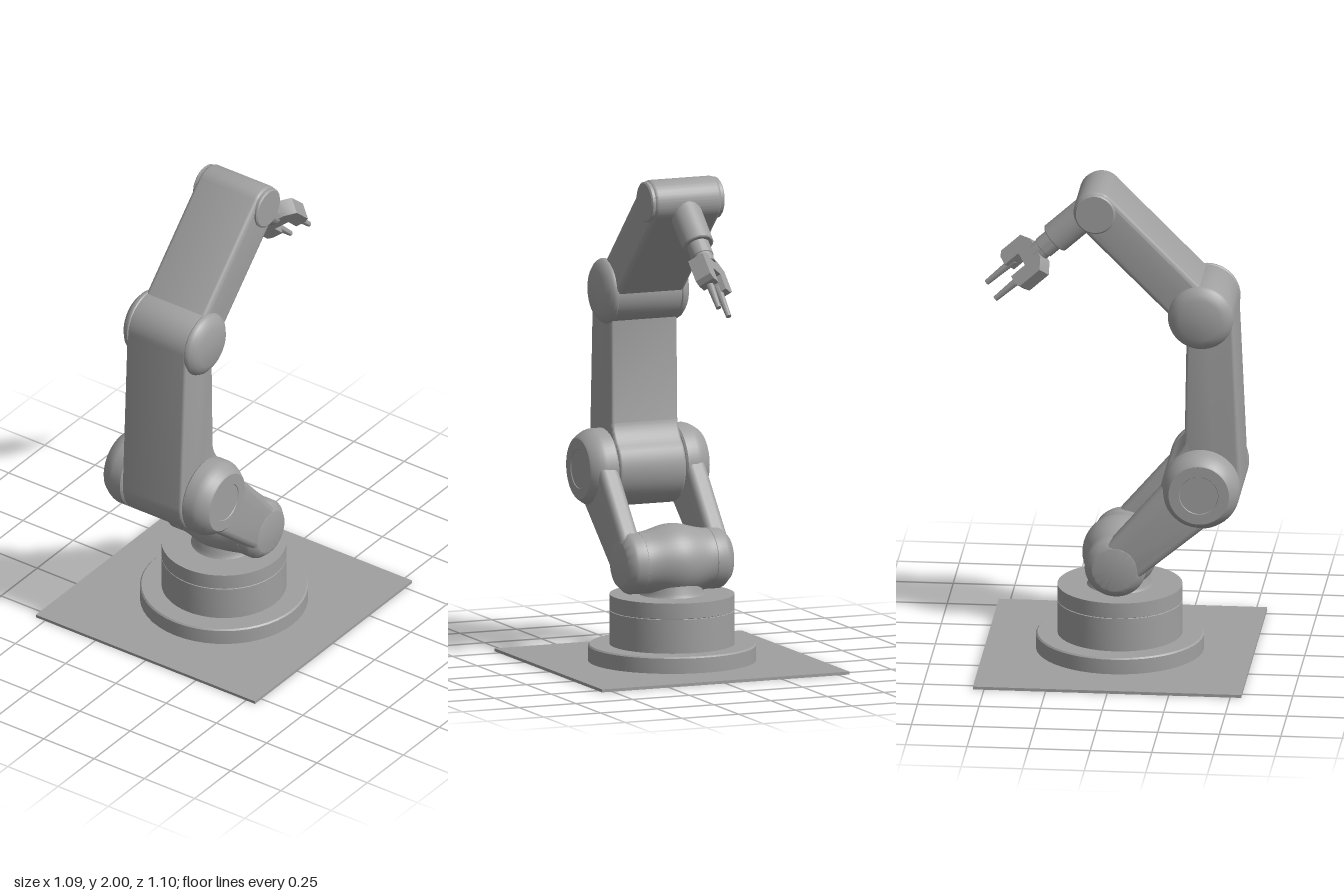
import * as THREE from 'three';
import { toCreasedNormals } from 'three/addons/utils/BufferGeometryUtils.js';

const grey = new THREE.MeshStandardMaterial({ color: 0xa0a0a0 });
grey.name = 'machine grey';

// Joint centres as [z, y]
const SHOULDER = [0, 0.42], ELBOW = [0.345, 0.76], UPPER = [0.342, 1.482], WRIST = [-0.087, 1.912];

function add(parent, name, geometry, x = 0, y = 0, z = 0) {
  const mesh = new THREE.Mesh(toCreasedNormals(geometry, 0.6), grey);
  mesh.name = name;
  mesh.position.set(x, y, z);
  parent.add(mesh);
  return mesh;
}

// Revolved part: points are [radius, height]
const lathe = (points, sides = 48) =>
  new THREE.LatheGeometry(points.map(([r, h]) => new THREE.Vector2(r, h)), sides);

// Revolved part lying along x; side = 1 or -1 gives the mirrored pair
function sideLathe(points, side = 1) {
  return lathe(points).rotateZ(-side * Math.PI / 2);
}

// Outline in (z, y) extruded across x, with edges bevelled inward
function slab(shape, width, bevel) {
  const g = new THREE.ExtrudeGeometry(shape, {
    depth: width - 2 * bevel, curveSegments: 24, bevelEnabled: bevel > 0,
    bevelThickness: bevel, bevelSize: bevel, bevelOffset: -bevel, bevelSegments: 3,
  });
  return g.translate(0, 0, -(width - 2 * bevel) / 2).rotateY(-Math.PI / 2);
}

// Outline wrapped around two circles
function linkShape([ax, ay], ra, [bx, by], rb) {
  const phi = Math.atan2(by - ay, bx - ax);
  const beta = Math.acos((ra - rb) / Math.hypot(bx - ax, by - ay));
  const s = new THREE.Shape();
  s.absarc(bx, by, rb, phi - beta, phi + beta, false);
  s.absarc(ax, ay, ra, phi + beta, phi - beta + 2 * Math.PI, false);
  s.closePath();
  return s;
}

export function createModel() {
  const model = new THREE.Group();
  model.name = 'robotArm';

  // Floor plate and turntable
  add(model, 'floorPlate', new THREE.BoxGeometry(1.09, 0.012, 1.09), 0, 0.006, 0);
  add(model, 'baseFlange', lathe([[0, 0.01], [0.34, 0.01], [0.34, 0.074], [0.334, 0.08], [0, 0.08]]));
  add(model, 'turntable', lathe([
    [0, 0.08], [0.253, 0.08], [0.253, 0.218], [0.249, 0.22], [0.253, 0.222], [0.253, 0.285], [0, 0.285],
  ]));

  // Neck and swollen shoulder hub
  add(model, 'neck', lathe([[0.135, 0.283], [0.124, 0.3], [0.124, 0.43]]));
  const hub = [[0, -0.152]];
  for (let i = 0; i <= 16; i++) {
    const t = i / 8 - 1;
    hub.push([0.124 + 0.028 * (0.5 + 0.5 * Math.cos(Math.PI * t)), t * 0.152]);
  }
  hub.push([0, 0.152]);
  add(model, 'shoulderHub', sideLathe(hub), 0, SHOULDER[1], SHOULDER[0]);

  // Paired lower links with round housings at both ends
  for (const side of [1, -1]) {
    const lower = new THREE.Group();
    lower.name = side > 0 ? 'leftLowerLink' : 'rightLowerLink';
    model.add(lower);
    add(lower, 'lowerHousing', sideLathe([
      [0, 0.147], [0.118, 0.147], [0.125, 0.154], [0.125, 0.195], [0.119, 0.208], [0.095, 0.233], [0.088, 0.235], [0, 0.235],
    ], side), 0, SHOULDER[1], SHOULDER[0]);
    add(lower, 'linkBar', slab(linkShape(SHOULDER, 0.09, ELBOW, 0.13), 0.085, 0.025), side * 0.1915, 0, 0);
    add(lower, 'elbowHousing', sideLathe([
      [0, 0.148], [0.153, 0.148], [0.16, 0.155], [0.16, 0.2], [0.156, 0.216], [0.147, 0.234],
      [0.131, 0.257], [0.123, 0.263], [0.08, 0.263], [0.078, 0.26], [0, 0.26],
    ], side), 0, ELBOW[1], ELBOW[0]);
  }

  // Upper arm: straight front edge, waisted back edge
  const arm = new THREE.Shape();
  arm.absarc(ELBOW[0], ELBOW[1], 0.16, 2.53, 2 * Math.PI + 0.04, false);
  arm.absarc(UPPER[0], UPPER[1], 0.13, 0.04, 4.24, false);
  arm.lineTo(0.276, 0.96);
  arm.quadraticCurveTo(0.268, 0.9, ELBOW[0] + 0.16 * Math.cos(2.53), ELBOW[1] + 0.16 * Math.sin(2.53));
  add(model, 'upperArm', slab(arm, 0.294, 0.012));

  // Forearm
  add(model, 'forearm', slab(linkShape(UPPER, 0.088, WRIST, 0.089), 0.298, 0.018));

  // Joint covers on both sides
  for (const side of [1, -1]) {
    add(model, 'upperJointCover', sideLathe([
      [0, 0.135], [0.127, 0.135], [0.133, 0.142], [0.133, 0.15], [0.127, 0.162], [0.108, 0.177], [0.085, 0.187], [0, 0.187],
    ], side), 0, UPPER[1], UPPER[0]);
    add(model, 'wristCover', sideLathe([
      [0, 0.14], [0.083, 0.14], [0.083, 0.156], [0.077, 0.161], [0, 0.161],
    ], side), 0, WRIST[1], WRIST[0]);
  }

  // Wrist and gripper: local y runs along the wrist
  const hand = new THREE.Group();
  hand.name = 'wristAndGripper';
  hand.position.set(0, WRIST[1], WRIST[0]);
  hand.rotation.x = THREE.MathUtils.degToRad(-132);
  model.add(hand);
  add(hand, 'wristBarrel', lathe([[0, 0], [0.065, 0], [0.065, 0.237], [0.061, 0.241], [0, 0.241]], 32));
  add(hand, 'wristSpindle', lathe([[0.046, 0.23], [0.046, 0.3], [0.042, 0.303], [0.042, 0.34], [0, 0.34]], 32));

  const gripper = new THREE.Group();
  gripper.name = 'gripper';
  gripper.rotation.y = -Math.PI / 4;
  hand.add(gripper);
  const half = [[0.05, 0.32], [0.096, 0.35], [0.096, 0.455], [0.075, 0.47], [0.032, 0.47], [0.032, 0.395]];
  const outline = [...half, ...half.map(([x, y]) => [-x, y]).reverse()];
  const fork = new THREE.Shape(outline.map(([x, y]) => new THREE.Vector2(x, y)));
  add(gripper, 'gripperFork',
    new THREE.ExtrudeGeometry(fork, { depth: 0.07, bevelEnabled: false }).translate(0, 0, -0.035));
  for (const side of [1, -1]) {
    add(gripper, 'finger', new THREE.CylinderGeometry(0.011, 0.017, 0.15, 12), side * 0.044, 0.513, 0);
  }
  return model;
}
